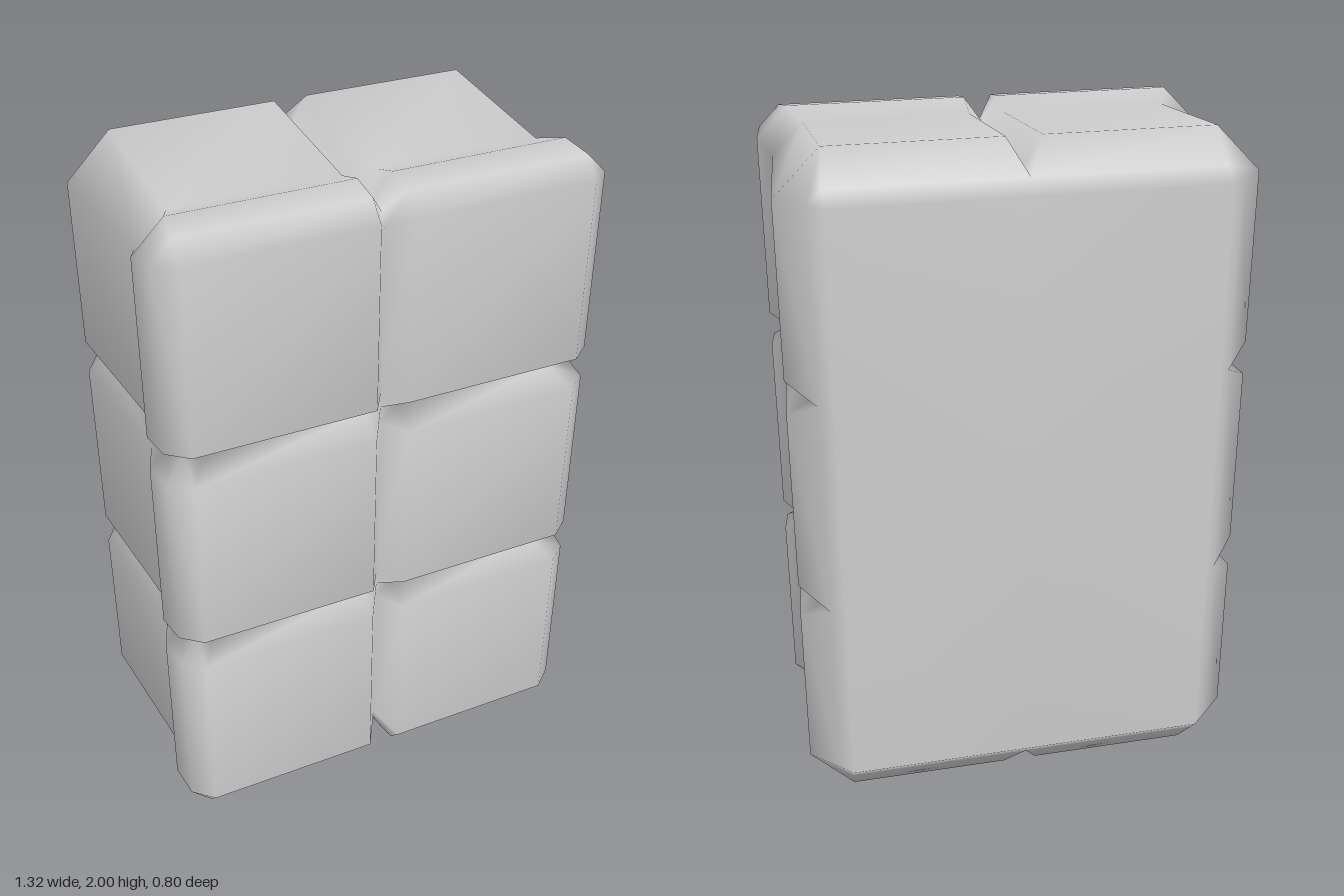
import * as THREE from 'three';
import { mergeVertices } from 'three/addons/utils/BufferGeometryUtils.js';

// Cross-sections from back to front: z, half width, half height, corner cut,
// groove half width, groove inset sideways, groove inset in depth
const SECTIONS = [
  [-0.40, 0.54, 0.87, 0.00, 0.00, 0.00, 0.00],
  [-0.36, 0.58, 0.91, 0.04, 0.00, 0.00, 0.00],
  [-0.28, 0.66, 1.00, 0.13, 0.05, 0.08, 0.00],
  [0.17, 0.62, 0.96, 0.09, 0.05, 0.08, 0.00],
  [0.26, 0.655, 0.99, 0.09, 0.05, 0.07, 0.01],
  [0.35, 0.64, 0.975, 0.06, 0.05, 0.07, 0.05],
  [0.40, 0.58, 0.92, 0.00, 0.05, 0.05, 0.08],
];
const ROW_GROOVES = [-0.32, 0.32]; // horizontal grooves between the three rows
const COLUMN_GROOVES = [0];        // vertical groove between the two columns

// Positions along one edge, marking the groove bottoms
function stations(end, grooves, g) {
  const list = [{ t: -end }];
  for (const c of grooves) list.push({ t: c - g }, { t: c, low: true }, { t: c + g });
  list.push({ t: end });
  return list;
}

// Notched outline, counter-clockwise as seen from the front
function outline([z, w, h, c, g, inset, sink]) {
  const across = stations(w - c, COLUMN_GROOVES, g);
  const up = stations(h - c, ROW_GROOVES, g);
  const horizontal = (s) => across.map(({ t, low }) =>
    [s * -t, s * (h - (low ? inset : 0)), z - (low ? sink : 0)]);
  const vertical = (s) => up.map(({ t, low }) =>
    [s * (w - (low ? inset : 0)), s * t, z - (low ? sink : 0)]);
  return [...horizontal(-1), ...vertical(1), ...horizontal(1), ...vertical(-1)];
}

function blockGeometry() {
  const positions = [];
  const same = (a, b) => a.every((v, i) => Math.abs(v - b[i]) < 1e-5);
  const tri = (a, b, c) => {
    if (!same(a, b) && !same(b, c) && !same(a, c)) positions.push(...a, ...b, ...c);
  };
  const quad = (a, b, c, d) => { tri(a, b, c); tri(a, c, d); };

  // Walls between neighbouring outlines
  const rings = SECTIONS.map(outline);
  const n = rings[0].length;
  for (let i = 0; i + 1 < rings.length; i++) {
    for (let j = 0; j < n; j++) {
      const k = (j + 1) % n;
      quad(rings[i][j], rings[i][k], rings[i + 1][k], rings[i + 1][j]);
    }
  }

  // Flat back
  for (let j = 0; j < n; j++) {
    tri([0, 0, SECTIONS[0][0]], rings[0][(j + 1) % n], rings[0][j]);
  }

  // Front: two by three pads divided by V grooves
  const [z, w, h, , g, inset, sink] = SECTIONS[SECTIONS.length - 1];
  const xs = stations(w, COLUMN_GROOVES, g);
  const ys = stations(h, ROW_GROOVES, g);
  const point = (i, j) => {
    const x = xs[i], y = ys[j];
    const sideEnd = (i === 0 || i === xs.length - 1) && y.low;
    const topEnd = (j === 0 || j === ys.length - 1) && x.low;
    return [
      x.t - (sideEnd ? Math.sign(x.t) * inset : 0),
      y.t - (topEnd ? Math.sign(y.t) * inset : 0),
      z - (x.low || y.low ? sink : 0),
    ];
  };
  for (let i = 0; i + 1 < xs.length; i++) {
    for (let j = 0; j + 1 < ys.length; j++) {
      quad(point(i, j), point(i + 1, j), point(i + 1, j + 1), point(i, j + 1));
    }
  }

  // Weld everything for soft shading across the edges
  let geometry = new THREE.BufferGeometry();
  geometry.setAttribute('position', new THREE.Float32BufferAttribute(positions, 3));
  geometry = mergeVertices(geometry, 1e-4);
  geometry.translate(0, 1, 0);
  geometry.computeVertexNormals();
  return geometry;
}

export function createModel() {
  const group = new THREE.Group();
  const block = new THREE.Mesh(blockGeometry(), new THREE.MeshStandardMaterial({ color: 0xcccccc }));
  block.name = 'groovedBlock';
  group.add(block);
  return group;
}
